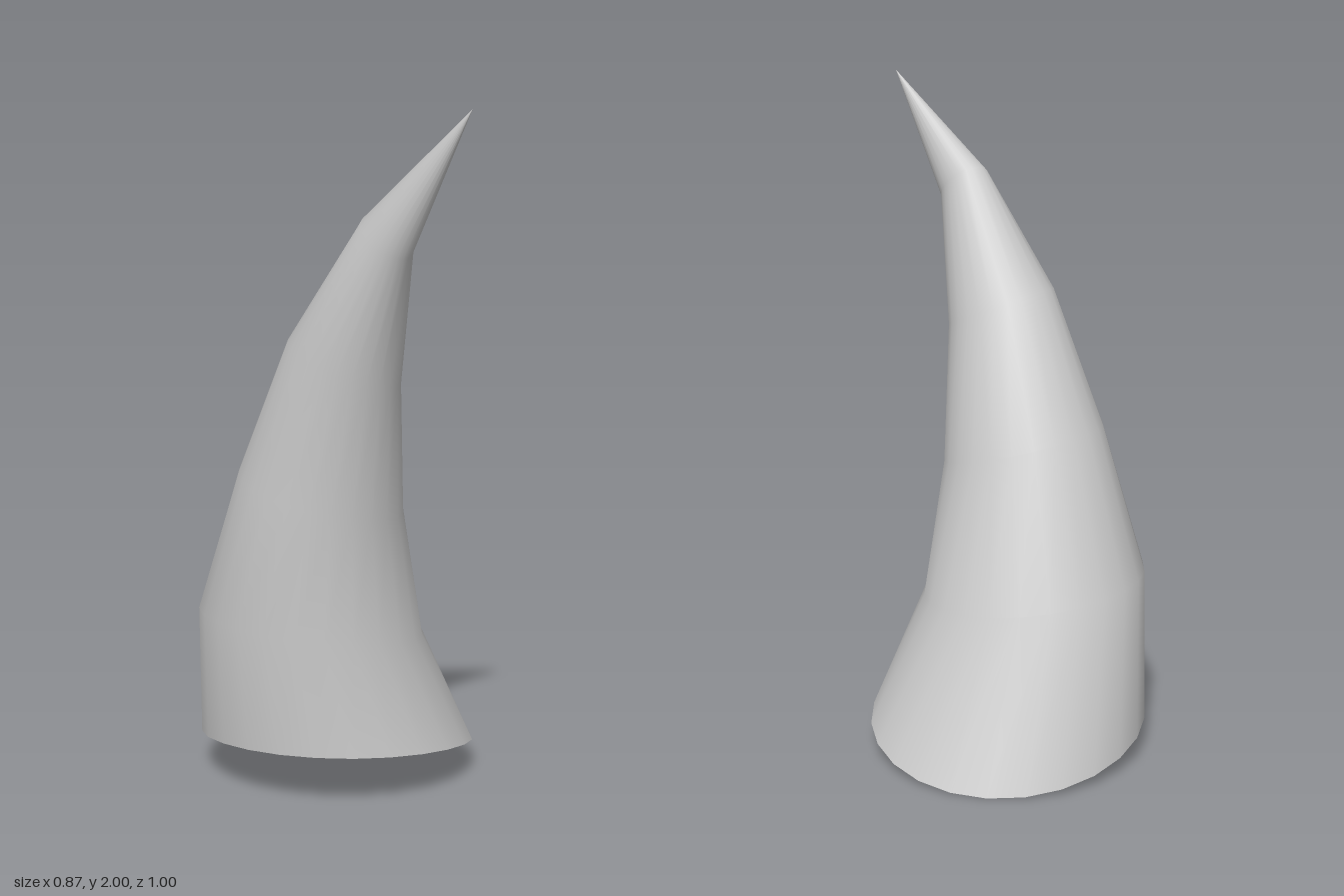
import * as THREE from 'three';

const SIDES = 24;

// Cross-sections: centre x, y, z, radius x, radius z, rise towards +x, rise towards +z, sag front and back
const RINGS = [
  [-0.015, 0.095, -0.082, 0.422, 0.423, -0.002, 0.0775, -0.0175],
  [-0.08, 0.49, 0.025, 0.34, 0.325, -0.04, 0.01, 0],
  [-0.035, 0.9, 0.112, 0.245, 0.248, -0.06, -0.02, 0],
  [0.052, 1.3, 0.23, 0.163, 0.16, -0.06, -0.02, 0],
  [0.19, 1.66, 0.37, 0.073, 0.077, -0.04, -0.04, 0],
];
const TIP = [0.43, 2, 0.5];

function ringPoint([x, y, z, rx, rz, riseX, riseZ, sag], i) {
  const a = (i / SIDES) * Math.PI * 2;
  const c = Math.cos(a), s = Math.sin(a);
  return [x + rx * c, y + riseX * c + riseZ * s + sag * s * s, z + rz * s];
}

function makeMesh(name, points, index) {
  const geometry = new THREE.BufferGeometry();
  geometry.setAttribute('position', new THREE.Float32BufferAttribute(points.flat(), 3));
  geometry.setIndex(index);
  geometry.computeVertexNormals();
  const mesh = new THREE.Mesh(geometry, new THREE.MeshStandardMaterial({ color: 0xcccccc }));
  mesh.name = name;
  return mesh;
}

export function createModel() {
  const group = new THREE.Group();
  group.name = 'horn';

  // Curved, tapering side wall closing in a sharp tip
  const points = [], index = [];
  for (const ring of RINGS) {
    for (let i = 0; i < SIDES; i++) points.push(ringPoint(ring, i));
  }
  for (let i = 0; i < SIDES; i++) points.push(TIP);
  for (let r = 0; r < RINGS.length; r++) {
    for (let i = 0; i < SIDES; i++) {
      const a = r * SIDES + i;
      const b = r * SIDES + ((i + 1) % SIDES);
      index.push(a, a + SIDES, b);
      if (r < RINGS.length - 1) index.push(b, a + SIDES, b + SIDES);
    }
  }
  group.add(makeMesh('hornBody', points, index));

  // Tilted underside, fanned from its centre
  const basePoints = [RINGS[0].slice(0, 3)], baseIndex = [];
  for (let i = 0; i < SIDES; i++) {
    basePoints.push(ringPoint(RINGS[0], i));
    baseIndex.push(0, 1 + i, 1 + ((i + 1) % SIDES));
  }
  group.add(makeMesh('hornBase', basePoints, baseIndex));

  return group;
}
